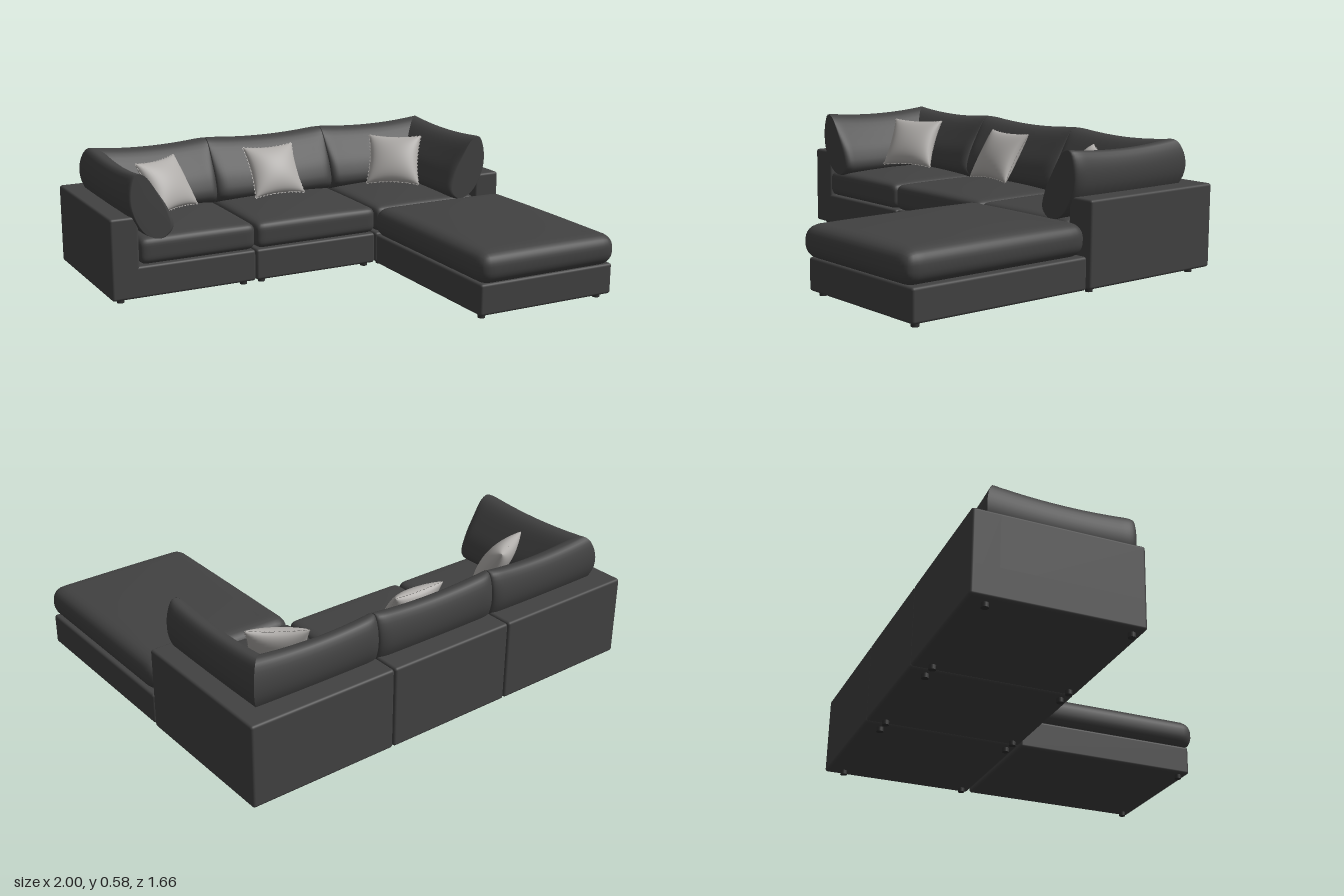
import * as THREE from 'three';
import { mergeVertices } from 'three/addons/utils/BufferGeometryUtils.js';
import { RoundedBoxGeometry } from 'three/addons/geometries/RoundedBoxGeometry.js';

const mat = (name, color, side = THREE.FrontSide) => {
  const m = new THREE.MeshStandardMaterial({ color, side });
  m.name = name;
  return m;
};

// Smooth normals across every shared vertex
function weld(geo) {
  geo.deleteAttribute('uv');
  geo.deleteAttribute('normal');
  const out = mergeVertices(geo, 1e-5);
  out.computeVertexNormals();
  return out;
}

// Box with rounded edges and a gently crowned top, given by its limits
function seatGeometry(x0, x1, y0, y1, z0, z1, r, crown) {
  const half = [(x1 - x0) / 2, (y1 - y0) / 2, (z1 - z0) / 2];
  const geo = new THREE.BoxGeometry(2, 2, 2, 24, 16, 24);
  const p = geo.attributes.position;
  const v = new THREE.Vector3(), inner = new THREE.Vector3();
  for (let i = 0; i < p.count; i++) {
    v.fromBufferAttribute(p, i);
    ['x', 'y', 'z'].forEach((k, n) => {
      v[k] = Math.sin(v[k] * Math.PI / 2) * half[n];
      inner[k] = THREE.MathUtils.clamp(v[k], r - half[n], half[n] - r);
    });
    v.sub(inner).setLength(r).add(inner);
    const u = v.x / half[0], w = v.z / half[2];
    if (v.y > 0) v.y += crown * (1 - u * u) * (1 - w * w) * v.y / half[1];
    p.setXYZ(i, v.x + (x0 + x1) / 2, v.y + (y0 + y1) / 2, v.z + (z0 + z1) / 2);
  }
  return weld(geo);
}

// Leaning cushion section: depth from its outer face, height
const section = new THREE.CatmullRomCurve3([
  [0.17, 0.28], [0.075, 0.31], [0.008, 0.41], [0.004, 0.5], [0.035, 0.562],
  [0.085, 0.552], [0.155, 0.47], [0.205, 0.39], [0.222, 0.32],
].map(([o, y]) => new THREE.Vector3(o, y, 0)), true).getPoints(40).slice(0, 40);

// Loft of the section along x; mitred ends are cut at 45 degrees for corners
function backGeometry(x0, x1, outerZ, mitre0, mitre1) {
  const rows = 32, n = section.length, pos = [], idx = [];
  for (let i = 0; i <= rows; i++) {
    const t = (1 - Math.cos(Math.PI * i / rows)) / 2;
    const e = 2 * t - 1;
    const dist = (e < 0 ? t : 1 - t) * (x1 - x0);
    const flatEnd = e < 0 ? !mitre0 : !mitre1;
    const d = 1 - Math.min(dist / 0.06, 1);
    const k = flatEnd ? 0.78 + 0.22 * Math.sqrt(1 - d * d) : 1;
    for (const s of section) {
      const o = 0.1 + (s.x - 0.1) * k;
      const lift = Math.max(0, (s.y - 0.3) / 0.27) * 0.018 * e * e;
      const y = 0.43 + (s.y - 0.43) * (0.9 + 0.1 * k) + lift;
      const a = x0 + (mitre0 ? o : 0), b = x1 - (mitre1 ? o : 0);
      pos.push(a + (b - a) * t, y, outerZ + o);
    }
  }
  for (let i = 0; i < rows; i++) {
    for (let j = 0; j < n; j++) {
      const a = i * n + j, c = i * n + (j + 1) % n;
      idx.push(a, c, a + n, c, c + n, a + n);
    }
  }
  // Close the straight ends
  [[mitre0, x0, 0], [mitre1, x1, rows]].forEach(([mitre, x, row]) => {
    if (mitre) return;
    const centre = pos.length / 3;
    pos.push(x, 0.42, outerZ + 0.1);
    for (let j = 0; j < n; j++) {
      const a = row * n + j, b = row * n + (j + 1) % n;
      if (row) idx.push(centre, a, b);
      else idx.push(centre, b, a);
    }
  });
  const geo = new THREE.BufferGeometry();
  geo.setAttribute('position', new THREE.Float32BufferAttribute(pos, 3));
  geo.setIndex(idx);
  geo.computeVertexNormals();
  return geo;
}

// Square scatter pillow with pinched edges
const PILLOW = 0.13;
const pinch = (u, v, size) => [size * u * (1 - 0.1 * (1 - v * v)), size * v * (1 - 0.1 * (1 - u * u))];
function pillowGeometry() {
  const geo = new THREE.BoxGeometry(2, 2, 2, 20, 20, 1);
  const p = geo.attributes.position;
  for (let i = 0; i < p.count; i++) {
    const u = Math.sin(p.getX(i) * Math.PI / 2), v = Math.sin(p.getY(i) * Math.PI / 2);
    const puff = 0.055 * Math.pow(Math.max(0, (1 - u * u) * (1 - v * v)), 0.45);
    p.setXYZ(i, ...pinch(u, v, PILLOW), Math.sign(p.getZ(i)) * (puff + 0.001));
  }
  return weld(geo);
}

// Thin ragged fringe around the pillow
function fringeGeometry() {
  const pts = [], steps = 28;
  for (let side = 0; side < 4; side++) {
    for (let i = 0; i < steps; i++) {
      const [x, y] = pinch(-1 + 2 * i / steps, -1, PILLOW + (i % 2 ? 0.006 : 0));
      pts.push(new THREE.Vector2(x, y).rotateAround(new THREE.Vector2(), side * Math.PI / 2));
    }
  }
  return new THREE.ShapeGeometry(new THREE.Shape(pts));
}

export function createModel() {
  const model = new THREE.Group();
  model.name = 'sectionalSofa';
  const fabric = mat('charcoalFabric', 0x424242);
  const light = mat('lightGreyFabric', 0xb0adaa);
  const fringe = mat('fringeGrey', 0xa5a29f, THREE.DoubleSide);
  const legMat = mat('legBlack', 0x303030);

  const add = (name, geo, material = fabric, parent = model) => {
    const m = new THREE.Mesh(geo, material);
    m.name = name;
    parent.add(m);
    return m;
  };
  const box = (name, x0, x1, y0, y1, z0, z1, r = 0.012) =>
    add(name, new RoundedBoxGeometry(x1 - x0, y1 - y0, z1 - z0, 3, r)
      .translate((x0 + x1) / 2, (y0 + y1) / 2, (z0 + z1) / 2));

  // Three seat modules: base, back frame, seat cushion
  const modules = [['right', -1, -0.315, -0.87, -0.315], ['middle', -0.311, 0.306, -0.313, 0.308],
    ['left', 0.31, 1, 0.308, 0.87]];
  for (const [side, x0, x1, s0, s1] of modules) {
    box(side + 'Base', x0, x1, 0.02, 0.165, -0.825, -0.1);
    box(side + 'BackFrame', x0, x1, 0.02, 0.39, -0.83, -0.7);
    add(side + 'SeatCushion', seatGeometry(s0, s1, 0.168, 0.29, -0.71, -0.092, 0.035, 0.018));
  }

  // Arms
  box('rightArm', -1, -0.87, 0.02, 0.39, -0.83, -0.1);
  box('leftArm', 0.87, 1, 0.02, 0.39, -0.83, -0.1);

  // Back cushions, mitred where they meet the side cushions
  add('rightBackCushion', backGeometry(-0.925, -0.313, -0.742, true, false));
  add('middleBackCushion', backGeometry(-0.311, 0.306, -0.742, false, false));
  add('leftBackCushion', backGeometry(0.308, 0.925, -0.742, false, true));
  add('rightSideCushion', backGeometry(0.09, 0.742, -0.925, false, true)).rotation.y = Math.PI / 2;
  add('leftSideCushion', backGeometry(-0.742, -0.09, -0.925, true, false)).rotation.y = -Math.PI / 2;

  // Chaise footstool
  box('chaiseBase', 0.305, 0.995, 0.02, 0.16, -0.088, 0.8);
  add('chaiseCushion', seatGeometry(0.285, 0.998, 0.157, 0.298, -0.093, 0.83, 0.062, 0.013));

  // Scatter pillows: position and yaw
  const pillowGeo = pillowGeometry(), fringeGeo = fringeGeometry();
  [['right', -0.61, 0.435, -0.43, 0.47], ['middle', -0.03, 0.425, -0.505, 0], ['left', 0.605, 0.425, -0.44, -0.6]]
    .forEach(([side, x, y, z, yaw]) => {
      const g = new THREE.Group();
      g.name = side + 'Pillow';
      add('pillowBody', pillowGeo, light, g);
      add('pillowFringe', fringeGeo, fringe, g);
      g.position.set(x, y, z);
      g.rotation.set(-0.58, yaw, 0, 'YXZ');
      model.add(g);
    });

  // Short feet
  const foot = new THREE.CylinderGeometry(0.016, 0.016, 0.03, 16);
  const feet = [[0.34, 0.755], [0.95, 0.755]];
  for (const x of [-0.95, -0.36, -0.27, 0.27, 0.355, 0.95]) feet.push([x, -0.145], [x, -0.75]);
  for (const [x, z] of feet) add('foot', foot, legMat).position.set(x, 0.015, z);

  return model;
}
